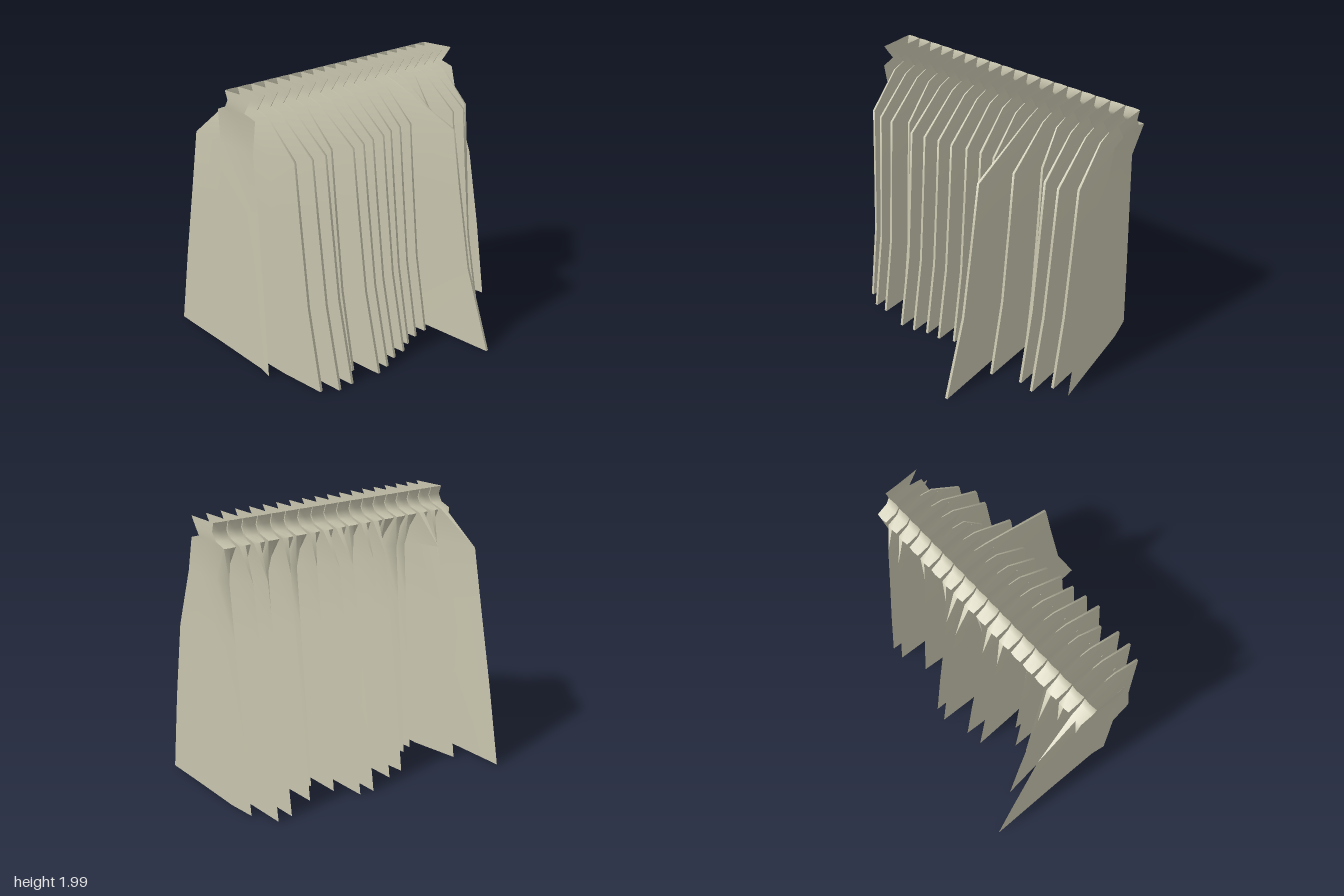
import * as THREE from 'three';
import { toCreasedNormals } from 'three/addons/utils/BufferGeometryUtils.js';

// Hem depth of each front pleat, from the right end (-x) to the left end (+x)
const frontZ = [0.1, 0.5, 0.57, 0.58, 0.48, 0.63, 0.61, 0.58, 0.57, 0.52,
  0.5, 0.5, 1.0, 0.62, 0.35, 0.56, 0.58, 0.47, 0.46];
// Hem position of each back fold between the pleats
const backX = [-0.935, -0.825, -0.76, -0.6, -0.51, -0.4, -0.3, -0.165, -0.06,
  0.05, 0.155, 0.275, 0.365, 0.487, 0.58, 0.7, 0.81, 0.915];
const backZ = [-1, -0.57, -0.72, -0.4, -0.43, -0.33, -0.63, -0.65, -0.5,
  -0.72, -0.7, -0.55, -0.4, -0.55, -0.37, -0.63, -0.63, -0.46];
const STEP = 0.109, FIRST = -0.985;

// Stitched heading rows: y, pleat tip z, panel z, pleat and panel half widths
const heading = [
  { y: 2.0, tip: 0.04, panel: -0.225, wall: 0.004, half: 0.052 },
  { y: 1.94, tip: 0.0, panel: -0.205, wall: 0.004, half: 0.051 },
  { y: 1.885, tip: -0.04, panel: -0.24, wall: 0.007, half: 0.048 },
  { y: 1.855, tip: 0.06, panel: -0.325, wall: 0.014, half: 0.042 },
];
// Hanging rows: y, share of the hem depth reached by the pleats, by the free
// side edges and by the back folds, then the half widths
const hanging = [
  { y: 1.62, front: 0.605, end: 0.25, back: 0.64, wall: 0.026, half: 0.029 },
  { y: 1.2, front: 0.68, end: 0.57, back: 0.735, wall: 0.028, half: 0.027 },
  { y: 0.62, front: 0.79, end: 0.8, back: 0.87, wall: 0.030, half: 0.026 },
  { y: 0.01, front: 1, end: 1, back: 1, wall: 0.032, half: 0.025 },
];

const { lerp } = THREE.MathUtils;
const last = frontZ.length - 1;

// One horizontal section through the whole curtain
function section(row) {
  const points = [];
  const hangs = row.front !== undefined;
  const hem = row.y < 0.1 ? 1 : 0;
  // the two points on one side of a front pleat
  const pleat = (i, side) => {
    const isEnd = i === 0 || i === last;
    const share = hangs ? (isEnd ? row.end : row.front) : 0;
    const drift = i === last ? 0.03 : i === 0 ? -0.026 : 0;
    const x = FIRST + i * STEP + drift * share;
    const z = hangs ? share * frontZ[i] : row.tip;
    const wallZ = hangs ? 0.45 * z - 0.06 : lerp(row.panel, z, 0.4);
    const y = row.y + hem * 0.005 * (1 + Math.sin(i * 1.9));
    const tip = [x + side * row.wall * 0.32, y, z];
    const wall = [x + side * row.wall, y, wallZ];
    return side > 0 ? [tip, wall] : [wall, tip];
  };
  for (let i = 0; i < last; i++) {
    const cx = FIRST + (i + 0.5) * STEP;
    const y = row.y + hem * 0.004;
    const foldX = hangs ? lerp(cx, backX[i], row.back) : cx;
    const foldZ = hangs ? row.back * backZ[i] : row.panel - 0.005;
    const panelZ = hangs ? 0.4 * foldZ - 0.08 : row.panel;
    points.push(...pleat(i, 1));
    points.push([cx - row.half, y, panelZ], [foldX, y, foldZ], [cx + row.half, y, panelZ]);
    points.push(...pleat(i + 1, -1));
  }
  return points;
}

// Skin the sections into one open sheet of cloth
function clothGeometry() {
  const sections = [...heading, ...hanging].map(section);
  const count = sections[0].length;
  const index = [];
  for (let r = 0; r < sections.length - 1; r++) {
    for (let c = 0; c < count - 1; c++) {
      const a = r * count + c, d = a + count;
      index.push(a, d, a + 1, a + 1, d, d + 1);
    }
  }
  const geometry = new THREE.BufferGeometry();
  geometry.setAttribute('position', new THREE.Float32BufferAttribute(sections.flat(2), 3));
  geometry.setIndex(index);
  return toCreasedNormals(geometry, 1.2);
}

export function createModel() {
  const group = new THREE.Group();
  group.name = 'pleatedCurtain';
  const cloth = new THREE.MeshStandardMaterial({ color: 0xc8c5ae, side: THREE.DoubleSide });
  cloth.name = 'beigeCloth';
  const curtain = new THREE.Mesh(clothGeometry(), cloth);
  curtain.name = 'curtainCloth';
  group.add(curtain);
  return group;
}
